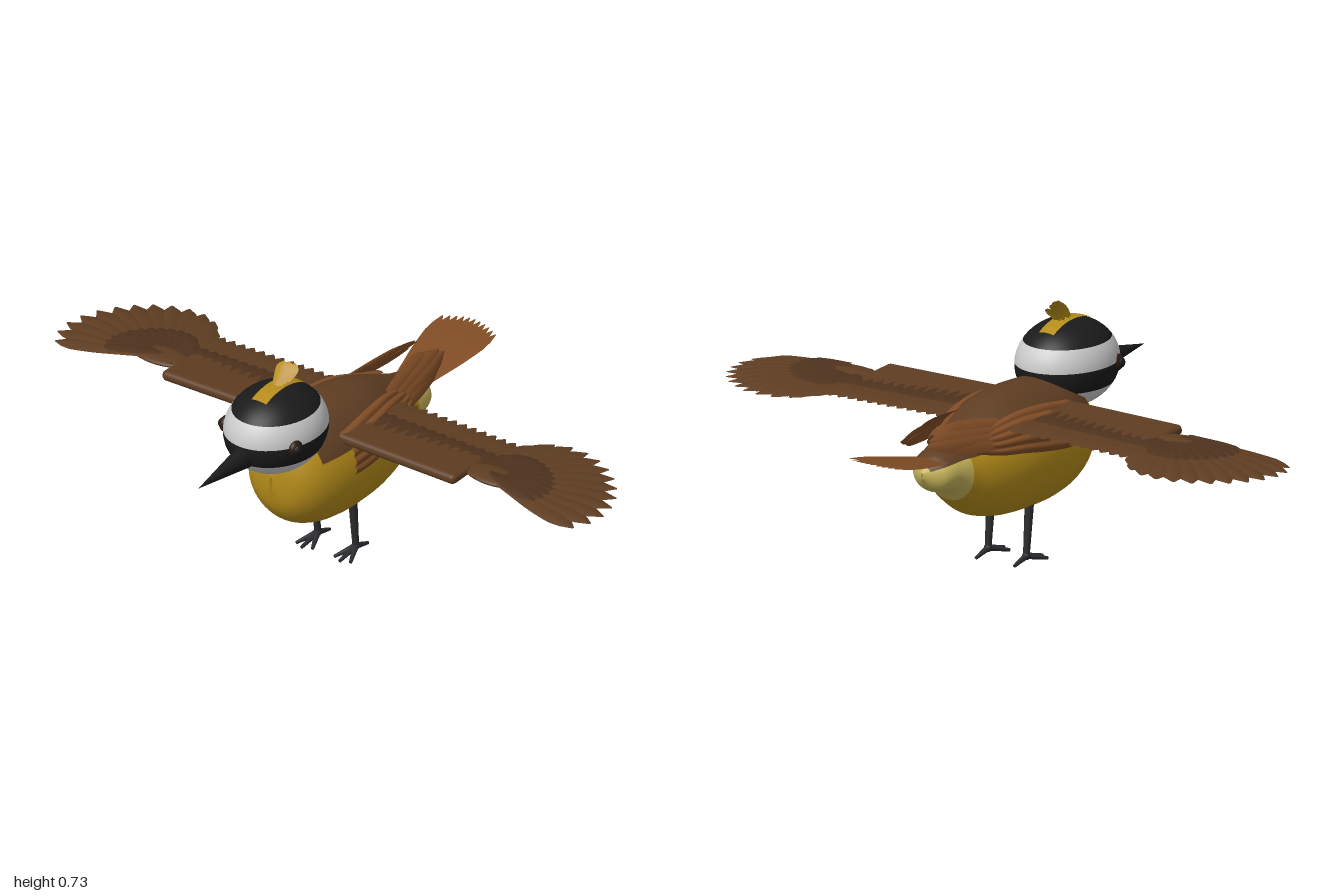
import * as THREE from 'three';
import { RoundedBoxGeometry } from 'three/addons/geometries/RoundedBoxGeometry.js';

const V = (x, y, z) => new THREE.Vector3(x, y, z);
const mat = (color) => new THREE.MeshStandardMaterial({ color, side: THREE.DoubleSide });
const yellow = mat(0xb58c1a), pale = mat(0xc6b45a), brown = mat(0x5e3d22), darkBrown = mat(0x4e321d);
const rust = mat(0x7f4c25), black = mat(0x1a1a1a), white = mat(0xc4c4c4), legGrey = mat(0x2c2c30);

function add(parent, name, geometry, material) {
  const mesh = new THREE.Mesh(geometry, material);
  mesh.name = name;
  parent.add(mesh);
  return mesh;
}

// Body cross-sections: z, bottom, top, half width
const sections = [
  [0.325, 0.33, 0.38, 0.005], [0.305, 0.26, 0.45, 0.085], [0.26, 0.205, 0.5, 0.13],
  [0.19, 0.172, 0.52, 0.155], [0.1, 0.157, 0.528, 0.166], [0, 0.155, 0.53, 0.165],
  [-0.1, 0.162, 0.517, 0.152], [-0.2, 0.188, 0.48, 0.126], [-0.27, 0.235, 0.45, 0.1],
  [-0.32, 0.283, 0.43, 0.083], [-0.385, 0.305, 0.41, 0.062], [-0.425, 0.35, 0.37, 0.004],
];
const smooth = (pts) => new THREE.CatmullRomCurve3(pts, false, 'catmullrom');
const heights = smooth(sections.map((s) => V(s[0], s[1], s[2])));
const widths = smooth(sections.map((s) => V(s[0], s[3], 0)));

// Patch of the body skin between two stations and two angles (0 is the top, positive towards +x)
function skin(t0, t1, from, to, lift = () => 0, rows = 48, cols = 48) {
  const pos = [], index = [];
  for (let i = 0; i <= rows; i++) {
    const u = i / rows, t = (t0 + (t1 - t0) * u) / (sections.length - 1);
    const h = heights.getPoint(t), rx = Math.max(widths.getPoint(t).y, 0.003);
    for (let j = 0; j <= cols; j++) {
      const v = j / cols, a = from(u) + (to(u) - from(u)) * v, d = lift(u, v);
      pos.push((rx + d) * Math.sin(a), (h.y + h.z) / 2 + ((h.z - h.y) / 2 + d) * Math.cos(a), h.x);
      if (i < rows && j < cols) {
        const k = i * (cols + 1) + j, n = k + cols + 1;
        index.push(k, k + 1, n, k + 1, n + 1, n);
      }
    }
  }
  const g = new THREE.BufferGeometry();
  g.setAttribute('position', new THREE.Float32BufferAttribute(pos, 3));
  g.setIndex(index);
  g.computeVertexNormals();
  return g;
}

// Feather blade with a raised shaft, running from root to tip
function feather(root, tip, normal, width, arch = 0.1) {
  const g = new THREE.PlaneGeometry(1, 1, 4, 10);
  const p = g.attributes.position;
  const dir = tip.clone().sub(root), length = dir.length();
  for (let i = 0; i < p.count; i++) {
    const x = p.getX(i), u = p.getY(i) + 0.5;
    const taper = u > 0.75 ? 1 - 0.92 * ((u - 0.75) / 0.25) ** 2 : 1;
    const w = width * Math.min(1, 0.45 + u) * taper;
    p.setXYZ(i, x * w, u * length, arch * w * (1 - 4 * x * x));
  }
  const y = dir.normalize(), x = y.clone().cross(normal).normalize(), z = x.clone().cross(y);
  g.applyMatrix4(new THREE.Matrix4().makeBasis(x, y, z).setPosition(root));
  g.computeVertexNormals();
  return g;
}

// Tapered rod between two points
function rod(a, b, ra, rb) {
  const d = b.clone().sub(a);
  const g = new THREE.CylinderGeometry(rb, ra, d.length(), 12);
  g.applyQuaternion(new THREE.Quaternion().setFromUnitVectors(V(0, 1, 0), d.clone().normalize()));
  return g.translate((a.x + b.x) / 2, (a.y + b.y) / 2, (a.z + b.z) / 2);
}

function ellipsoid(c, rx, ry, rz, from = 0, to = Math.PI) {
  return new THREE.SphereGeometry(1, 48, 24, 0, Math.PI * 2, from, to - from)
    .scale(rx, ry, rz).translate(c.x, c.y, c.z);
}

function makeWing() {
  const wing = new THREE.Group();
  wing.name = 'spreadWing';
  const up = V(0, 1, 0);
  // Arm: thick leading edge thinning backwards
  const arm = new RoundedBoxGeometry(0.46, 0.034, 0.17, 5, 0.016);
  const p = arm.attributes.position;
  for (let i = 0; i < p.count; i++) {
    const x = p.getX(i), z = p.getZ(i);
    p.setY(i, p.getY(i) * (0.7 + 3.5 * z) - 0.01 * x);
    p.setZ(i, z + 0.02 * (1 - (x / 0.23) ** 2) * (z > 0 ? 1 : 0));
  }
  arm.computeVertexNormals();
  add(wing, 'wingArm', arm.translate(0.31, 0.463, 0.06), brown);
  // Secondaries and their coverts
  for (let i = 0; i < 14; i++) {
    const x = 0.09 + i * 0.036, y = 0.464 - i * 0.0006;
    add(wing, 'secondaryFeather', feather(V(x, y, 0.05), V(x + 0.012, y - 0.006, -0.165), up, 0.058, 0.15), brown);
    add(wing, 'secondaryCovert', feather(V(x, y + 0.01, 0.08), V(x + 0.006, y + 0.003, -0.07), up, 0.052, 0.12), darkBrown);
  }
  // Primaries fan out around the wrist, with shorter coverts over them
  for (let i = 0; i < 13; i++) {
    const s = i / 12, a = THREE.MathUtils.degToRad(-106 + 114 * s);
    const r = 0.34 - 0.055 * Math.abs(2 * s - 1.05) ** 4;
    const c = Math.cos(a), n = Math.sin(a), y = 0.456 + 0.001 * i;
    const root = V(0.57 + 0.05 * s, y, 0.03 + 0.035 * s);
    const tip = V(0.66 + r * c, 0.446 - 0.02 * s, 0.07 + r * n);
    add(wing, 'primaryFeather', feather(root, tip, up, 0.078, 0.12), brown);
    const half = root.clone().lerp(tip, 0.52).add(V(0, 0.008, 0));
    add(wing, 'primaryCovert', feather(root.clone().add(V(0, 0.008, 0)), half, up, 0.055, 0.12), darkBrown);
  }
  add(wing, 'wrist', ellipsoid(V(0.61, 0.463, 0.045), 0.1, 0.014, 0.052), brown).rotation.z = -0.005;
  return wing;
}

// Folded flight feathers lying along the flank
function makeFlank() {
  const flank = new THREE.Group();
  flank.name = 'flankWing';
  add(flank, 'flankCoverts', skin(3.6, 8.4, (u) => 0.75 - 0.3 * u, (u) => 1.5 - 0.62 * u * u,
    (u, v) => 0.006 + 0.007 * Math.abs(Math.sin(v * Math.PI * 5)) + 0.01 * Math.sin(v * Math.PI), 32, 50), rust);
  for (let i = 0; i < 4; i++)
    add(flank, 'flankFeather', feather(V(0.132 - i * 0.013, 0.415 + i * 0.016, -0.08),
      V(0.055 - i * 0.006, 0.455 + i * 0.012, -0.41 - 0.055 * Math.sin(i + 0.4)), V(0.85, 0.5, 0.2), 0.058, 0.16), rust);
  return flank;
}

function makeLeg() {
  const leg = new THREE.Group();
  leg.name = 'leg';
  const ankle = V(0.07, 0.024, 0);
  add(leg, 'shank', rod(V(0.07, 0.185, 0.015), ankle, 0.014, 0.01), legGrey);
  add(leg, 'ankle', new THREE.SphereGeometry(0.013, 12, 8).translate(0.07, 0.024, 0), legGrey);
  for (const [dx, dz] of [[-0.03, 0.066], [0, 0.08], [0.03, 0.066], [0, -0.06]])
    add(leg, 'toe', rod(ankle, V(0.07 + dx, 0.007, dz), 0.01, 0.005), legGrey);
  return leg;
}

function makeEye() {
  const eye = new THREE.Group();
  eye.name = 'eye';
  add(eye, 'iris', ellipsoid(V(0.127, 0.54, 0.375), 0.018, 0.026, 0.026), mat(0x2a1a12));
  add(eye, 'pupil', new THREE.SphereGeometry(0.018, 16, 12).translate(0.133, 0.54, 0.378), black);
  return eye;
}

export function createModel() {
  const bird = new THREE.Group();
  bird.name = 'bird';

  // Body
  const full = [() => -Math.PI, () => Math.PI];
  add(bird, 'belly', skin(0, 8.4, ...full), yellow);
  add(bird, 'rump', skin(8.4, 11, ...full), pale);
  add(bird, 'mantle', skin(2.3, 10.7, (u) => -1.1 + 0.1 * u, (u) => 1.1 - 0.1 * u, () => 0.005), brown);

  // Head in colour bands from crown to throat
  const c = V(0, 0.54, 0.3), bands = [0, 1.0, 1.53, 2.04, Math.PI];
  ['crown', 'browBand', 'eyeMask', 'throat'].forEach((name, i) =>
    add(bird, name, ellipsoid(c, 0.146, 0.135, 0.175, bands[i], bands[i + 1]), i % 2 ? white : black));

  // Crown stripe wrapped over the head
  const stripe = new THREE.PlaneGeometry(0.054, 0.19, 6, 16).rotateX(-Math.PI / 2).translate(0, 0, 0.29);
  const p = stripe.attributes.position;
  for (let i = 0; i < p.count; i++) {
    const x = p.getX(i) / 0.146, z = (p.getZ(i) - c.z) / 0.175;
    p.setY(i, c.y + 0.135 * Math.sqrt(1 - x * x - z * z) + 0.003);
  }
  stripe.computeVertexNormals();
  add(bird, 'crownStripe', stripe, yellow);

  // Crest
  for (let i = 0; i < 7; i++) {
    const x = 0.012 * Math.sin(i * 2.4);
    add(bird, 'crestFeather', feather(V(x * 0.4, 0.667, 0.31 - 0.008 * i),
      V(x, 0.736 - 0.003 * i, 0.255 - 0.006 * i), V(0, 0.6, 0.8), 0.042, 0.08), yellow);
  }

  // Beak
  const beak = new THREE.ConeGeometry(1, 0.245, 24, 8).rotateX(Math.PI / 2);
  beak.scale(0.036, 0.04, 1).rotateX(0.03).translate(0, 0.503, 0.5625);
  add(bird, 'beak', beak, black);

  // Tail fan
  for (let i = 0; i < 11; i++) {
    const s = i / 5 - 1, lift = -0.006 * Math.abs(s);
    add(bird, 'tailFeather', feather(V(0.03 * s, 0.388 + lift, -0.3),
      V(0.098 * s, 0.459 + lift, -0.685 + 0.03 * s * s), V(0, 1, 0.15), 0.046, 0.1), rust);
  }

  // Mirrored parts
  for (const part of [makeWing(), makeFlank(), makeLeg(), makeEye()]) {
    const twin = part.clone();
    twin.scale.x = -1;
    twin.name = part.name + 'Right';
    part.name += 'Left';
    bird.add(part, twin);
  }
  return bird;
}
